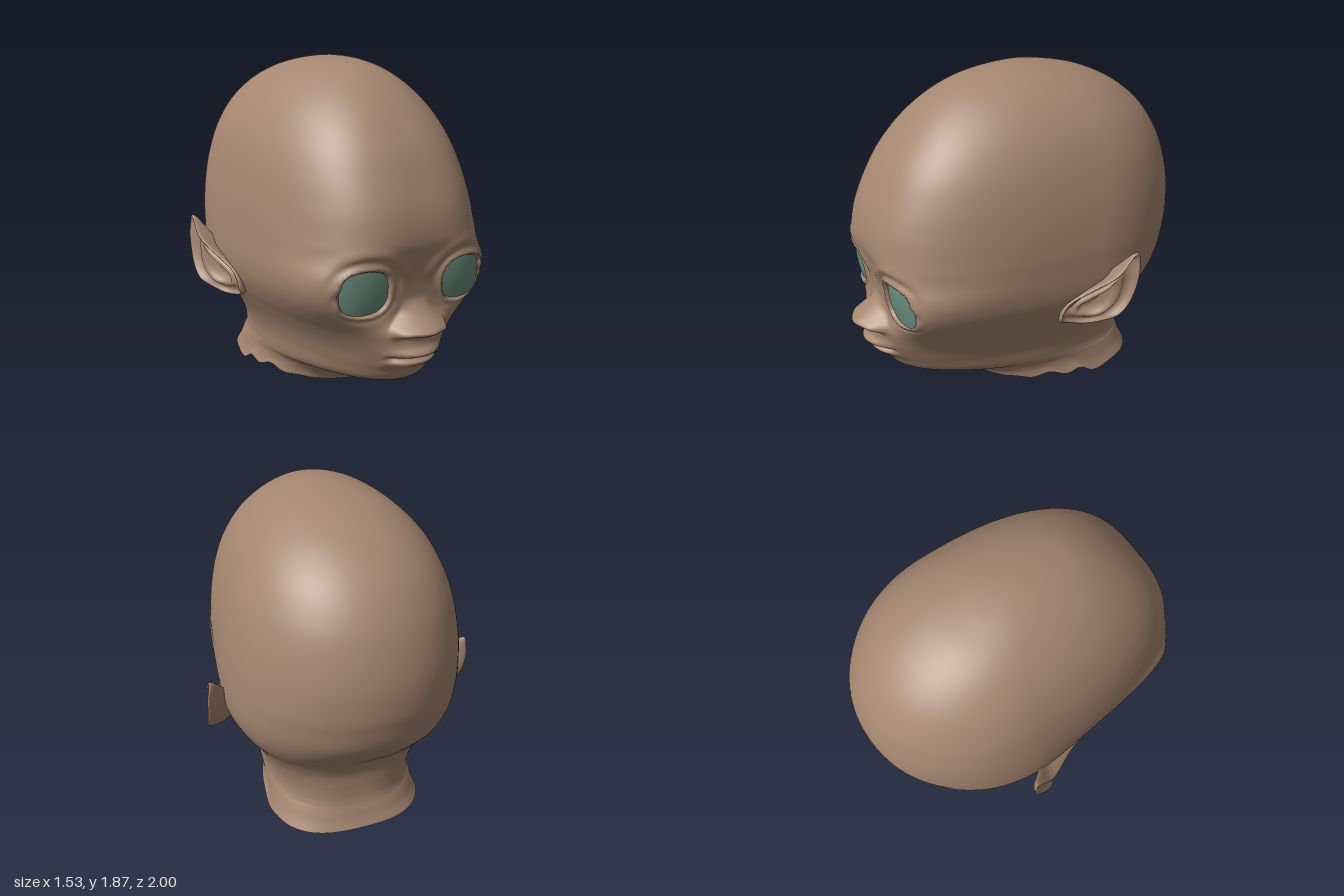
import * as THREE from 'three';

const { smoothstep, lerp, clamp } = THREE.MathUtils;
const gauss = (d, w) => Math.exp(-(d * d) / (w * w));

// Head cross-sections: y, front z, back z, half width, squareness of the front, taper to the front
const SECTIONS = [
  [0.03, 0.30, -0.74, 0.455, 2, 0],
  [0.08, 0.355, -0.717, 0.437, 2, 0.02],
  [0.13, 0.45, -0.70, 0.43, 2, 0.06],
  [0.16, 0.57, -0.69, 0.43, 2.05, 0.11],
  [0.18, 0.68, -0.685, 0.43, 2.1, 0.15],
  [0.22, 0.78, -0.68, 0.433, 2.2, 0.2],
  [0.30, 0.83, -0.68, 0.448, 2.45, 0.24],
  [0.40, 0.845, -0.69, 0.49, 2.8, 0.26],
  [0.50, 0.85, -0.735, 0.55, 3.4, 0.25],
  [0.58, 0.85, -0.805, 0.60, 4.4, 0.225],
  [0.68, 0.85, -0.89, 0.643, 6.2, 0.195],
  [0.78, 0.86, -0.95, 0.66, 7, 0.18],
  [0.90, 0.885, -0.98, 0.661, 4.5, 0.17],
  [1.00, 0.905, -0.994, 0.657, 3.5, 0.145],
  [1.15, 0.885, -0.99, 0.64, 3.0, 0.1],
  [1.30, 0.825, -0.957, 0.61, 2.8, 0.06],
  [1.45, 0.745, -0.897, 0.564, 2.65, 0.04],
  [1.60, 0.625, -0.79, 0.487, 2.45, 0.01],
  [1.72, 0.49, -0.64, 0.385, 2.25, 0],
  [1.80, 0.35, -0.47, 0.275, 2.1, 0],
  [1.845, 0.19, -0.29, 0.17, 2, 0],
  [1.865, 0.05, -0.15, 0.075, 2, 0],
  [1.87, -0.05, -0.05, 0, 2, 0],
];

// Smooth blend between neighbouring sections
function sectionAt(u) {
  const last = SECTIONS.length - 1;
  const i = Math.min(Math.floor(u), last - 1), f = u - i;
  const p = [-1, 0, 1, 2].map((k) => SECTIONS[clamp(i + k, 0, last)]);
  return p[0].map((_, c) => {
    const [a, b, d, e] = p.map((s) => s[c]);
    return b + 0.5 * f * (d - a + f * (2 * a - 5 * b + 4 * d - e + f * (3 * (b - d) + e - a)));
  });
}

const EYE = { x: 0.295, y: 0.752, w: 0.132, h: 0.116, power: 2.8 };
const eyeNorm = (x, y) => Math.pow(Math.abs(x) ** EYE.power + Math.abs(y) ** EYE.power, 1 / EYE.power);

// Forward relief of the face: nose, lips, eye sockets and brows
function faceRelief(x, y) {
  const ax = Math.abs(x);
  let dz = 0;
  // muzzle
  dz += 0.07 * gauss(x, 0.18) * smoothstep(y, 0.27, 0.42) * (1 - smoothstep(y, 0.5, 0.62));
  // nose with a narrow bridge, and nostrils
  const noseWidth = lerp(0.175, 0.09, smoothstep(y, 0.53, 0.66));
  const across = Math.max(0, 1 - (ax / noseWidth) ** 2);
  dz += 0.112 * across * smoothstep(y, 0.485, 0.55) * Math.pow(1 - smoothstep(y, 0.54, 0.7), 1.2);
  dz += 0.022 * gauss(ax - 0.125, 0.04) * gauss(y - 0.53, 0.03);
  dz -= 0.016 * gauss(ax - 0.1, 0.035) * gauss(y - 0.507, 0.014);
  // lips and the line between them
  const lip = Math.max(0, 1 - (ax / 0.185) ** 2);
  dz += 0.035 * lip * gauss(y - 0.41, 0.026);
  dz += 0.03 * lip * gauss(y - 0.342, 0.028);
  dz -= 0.032 * (1 - smoothstep(ax, 0.12, 0.18)) * gauss(y - 0.376, 0.011);
  // sockets, thin lids, outer corners and the crease below the brow
  const ex = (ax - EYE.x) / EYE.w, ey = (y - EYE.y) / EYE.h;
  const e = eyeNorm(ex, ey), r = Math.hypot(ex, ey);
  dz -= 0.045 * (1 - smoothstep(e, 0.9, 1.04));
  dz += 0.007 * gauss(e - 1.1, 0.09);
  dz -= 0.009 * gauss(r - 1.42, 0.14) * smoothstep(ey, -0.4, 0.6);
  dz += 0.008 * gauss(r - 1.75, 0.25) * smoothstep(ey, 0, 0.9);
  dz -= 0.006 * gauss(r - 1.3, 0.12) * smoothstep(-ey, 0.2, 0.9);
  dz -= 0.022 * gauss(ax - 0.44, 0.016) * gauss(y - 0.74, 0.035);
  return dz;
}

function surface(rows, cols, pointAt) {
  const pos = [], index = [];
  for (let j = 0; j < rows; j++) {
    for (let i = 0; i < cols; i++) pos.push(...pointAt(j, i));
  }
  for (let j = 0; j < rows - 1; j++) {
    for (let i = 0; i < cols; i++) {
      const a = j * cols + i, b = j * cols + (i + 1) % cols;
      index.push(a, b, b + cols, a, b + cols, a + cols);
    }
  }
  const g = new THREE.BufferGeometry();
  g.setAttribute('position', new THREE.Float32BufferAttribute(pos, 3));
  g.setIndex(index);
  g.computeVertexNormals();
  return g;
}

function headGeometry() {
  const steps = 10, cols = 220, rows = (SECTIONS.length - 1) * steps + 1;
  return surface(rows, cols, (j, i) => {
    const [y, zf, zb, w, n, taper] = sectionAt(j / steps);
    // columns are packed closer together at the face
    const u = (i / cols) * Math.PI * 2 - Math.PI;
    const a = u - 0.65 * Math.sin(u);
    const s = Math.sin(a), c = Math.cos(a), zc = lerp(zb, zf, 0.4);
    const backSquareness = lerp(2.7, 2.08, smoothstep(y, 0.35, 0.8));
    const depth = c > 0 ? zf - zc : zc - zb, p = c > 0 ? n : backSquareness;
    if (w < 1e-4) return [0, y, zc];
    const r = Math.pow(Math.abs(s / w) ** p + Math.abs(c / depth) ** p, -1 / p);
    const t = c > 0 ? (r * c) / depth : 0;
    const x = r * s * (1 - taper * Math.pow(t, 1.2));
    let z = zc + r * c;
    if (y > 0.2 && y < 1.2) z += faceRelief(x, y) * smoothstep(z, 0.45, 0.7);
    // ragged edge of the neck
    const b = Math.abs(a);
    const teeth = 0.016 * (1 - Math.cos((b - 0.3) * 14)) * smoothstep(b, 0.4, 1) * (1 - smoothstep(b, 1.3, 1.7));
    const ragged = teeth - 0.03 * gauss(b - 1.65, 0.2);
    return [x, y + ragged * (1 - smoothstep(y, 0.03, 0.13)), z];
  });
}

// Gently curved disc with a rounded outline
function eyeGeometry(side) {
  return surface(13, 64, (j, i) => {
    const a = (i / 64) * Math.PI * 2, c = Math.cos(a), s = Math.sin(a);
    const q = (1 - j / 12) / eyeNorm(c, s);
    const x = EYE.x + side * EYE.w * q * c, y = EYE.y + EYE.h * q * s;
    const z = 0.84 - 0.035 * Math.max(0, (x - 0.165) / 0.26) ** 3 + 0.012 * (1 - q * q * 0.7) + 0.1 * (y - EYE.y);
    return [side * x, y, z];
  });
}

// Pointed ear: rings run from the root behind, over the rim, into the bowl
const EAR_OUTLINE = [
  [0.04, 0.57], [0.015, 0.66], [-0.1, 0.745], [-0.25, 0.845], [-0.36, 0.95], [-0.38, 0.945],
  [-0.375, 0.8], [-0.335, 0.68], [-0.26, 0.59], [-0.15, 0.525], [-0.04, 0.53],
];
const EAR_RINGS = [
  [0.55, -0.11], [0.8, -0.06], [0.95, -0.025], [1, -0.005], [0.985, 0.006], [0.93, 0.006],
  [0.86, -0.016], [0.72, -0.034], [0.6, -0.022], [0.5, -0.008], [0.4, -0.025], [0.25, -0.042], [0, -0.045],
];

function earGeometry(side) {
  const rim = new THREE.CatmullRomCurve3(
    EAR_OUTLINE.map(([z, y]) => new THREE.Vector3(0, y, z)), true).getPoints(72);
  rim.pop();
  return surface(EAR_RINGS.length, rim.length, (j, i) => {
    const [scale, dx] = EAR_RINGS[j];
    const p = rim[side > 0 ? rim.length - 1 - i : i];
    const z = lerp(-0.14, p.z, scale), y = lerp(0.65, p.y, scale);
    // the front edge and lobe tuck in against the head
    const x = 0.625 + 0.135 * smoothstep(-z, -0.06, 0.33)
      - 0.05 * (1 - smoothstep(y, 0.51, 0.6)) - 0.015 * smoothstep(y, 0.82, 0.95);
    return [side * (x + dx), y, z];
  });
}

export function createModel() {
  const skin = new THREE.MeshStandardMaterial({ color: 0xa58670, side: THREE.DoubleSide });
  skin.name = 'skin';
  const iris = new THREE.MeshStandardMaterial({ color: 0x6a8c7e, side: THREE.DoubleSide });
  iris.name = 'eye green';

  const model = new THREE.Group();
  model.name = 'head model';
  const add = (name, geometry, material) => {
    const mesh = new THREE.Mesh(geometry, material);
    mesh.name = name;
    model.add(mesh);
  };

  add('head', headGeometry(), skin);
  for (const [label, side] of [['left', 1], ['right', -1]]) {
    add(label + 'Eye', eyeGeometry(side), iris);
    add(label + 'Ear', earGeometry(side), skin);
  }
  return model;
}
